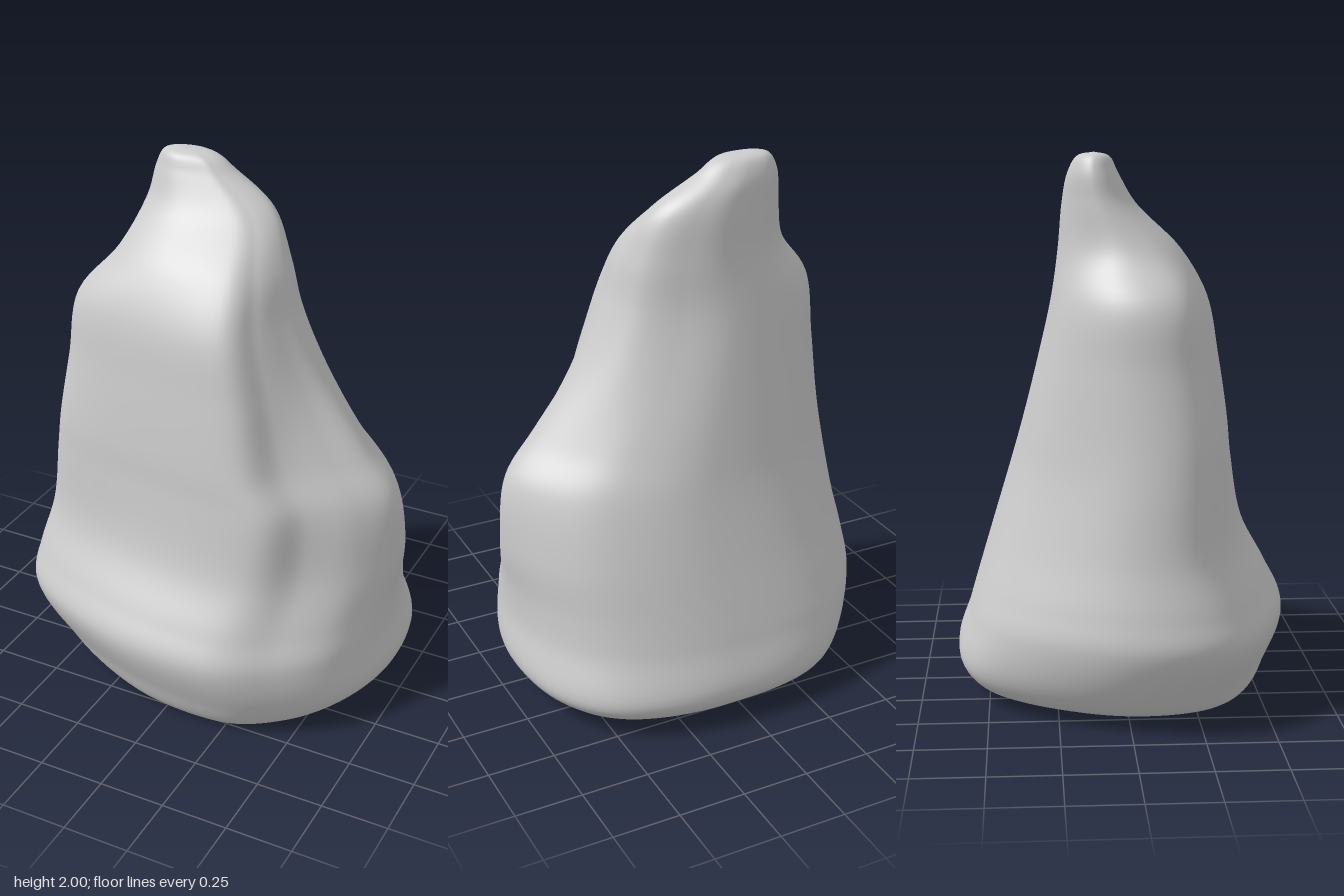
import * as THREE from 'three';
import { mergeVertices } from 'three/addons/utils/BufferGeometryUtils.js';

const { lerp, smoothstep } = THREE.MathUtils;
const AROUND = 110, STEPS = 7;

// Outlines in a unit square (x, z): left, left front, front, front ridge, hollow,
// right bump, right, right back, back right, back, back left.
const FOOT = [[-.98, -.12], [-.91, .55], [-.33, .92], [.28, 1], [.64, .82], [.88, .53], [.99, .05], [.92, -.5], [.64, -.87], [.09, -1], [-.58, -.85]];
const WAIST = [[-.99, -.08], [-.94, .6], [-.3, .88], [.42, .98], [.64, .62], [.86, .32], [1, -.02], [.83, -.5], [.55, -.84], [.07, -1], [-.6, -.8]];
const SHOULDER = [[-.99, -.18], [-.95, .52], [-.3, .85], [.6, .96], [.84, .57], [.95, .2], [1, -.15], [.88, -.58], [.55, -.85], [.07, -1], [-.6, -.8]];

// Height, left, right, back and front limits of the rock
const LEVELS = [
  [.12, -.65, .72, -.62, .57],
  [.3, -.73, .705, -.575, .62],
  [.42, -.71, .705, -.54, .57],
  [.6, -.66, .72, -.485, .48],
  [.85, -.62, .69, -.41, .44],
  [1, -.6, .575, -.37, .42],
  [1.25, -.565, .39, -.31, .38],
  [1.48, -.535, .28, -.26, .33],
  [1.65, -.41, .23, -.235, .23],
  [1.82, -.355, .14, -.22, .05],
  [1.93, -.335, -.02, -.2, -.02],
];

// The outline turns from foot to waist to shoulder, then rounds off to an ellipse at the peak.
function ring([y, left, right, back, front]) {
  const toWaist = smoothstep(y, 0.15, 1), toShoulder = smoothstep(y, 1, 1.4), toPeak = smoothstep(y, 1.45, 1.9);
  return FOOT.map((foot, i) => {
    const [u, v] = foot.map((f, k) => lerp(lerp(f, WAIST[i][k], toWaist), SHOULDER[i][k], toShoulder));
    const reach = lerp(1, 1 / Math.hypot(u, v), toPeak);
    return new THREE.Vector3(lerp(left, right, (u * reach + 1) / 2), y, lerp(back, front, (v * reach + 1) / 2));
  });
}

// Shrinks a ring towards a centre and moves it to a new height.
function shrink(points, scale, cx, cz, height) {
  return points.map((p) => {
    const z = lerp(cz, p.z, scale);
    return new THREE.Vector3(lerp(cx, p.x, scale), height(z), z);
  });
}

// Smooth skin through the rings: a closed curve around each, then a curve up each column.
function loft(rings) {
  const loops = rings.map((r) => new THREE.CatmullRomCurve3(r, true, 'catmullrom', 0.5));
  const rows = (rings.length - 1) * STEPS;
  const positions = [], index = [];
  for (let j = 0; j < AROUND; j++) {
    const column = new THREE.CatmullRomCurve3(loops.map((l) => l.getPoint(j / AROUND)));
    for (let i = 0; i <= rows; i++) {
      const p = column.getPoint(i / rows);
      positions.push(p.x, Math.max(0, p.y), p.z);
    }
    const a = j * (rows + 1), b = ((j + 1) % AROUND) * (rows + 1);
    for (let i = 0; i < rows; i++) {
      if (i > 0) index.push(a + i, b + i, b + i + 1);
      if (i < rows - 1) index.push(a + i, b + i + 1, a + i + 1);
    }
  }
  const geometry = new THREE.BufferGeometry();
  geometry.setAttribute('position', new THREE.Float32BufferAttribute(positions, 3));
  geometry.setIndex(index);
  const merged = mergeVertices(geometry, 1e-5);
  merged.computeVertexNormals();
  return merged;
}

export function createModel() {
  const body = LEVELS.map(ring);
  const foot = body[0], peak = body[body.length - 1];
  // The underside dips to the ground at the front
  const under = (z) => 0.04 * (1 - smoothstep(z, 0.2, 0.49));
  const rings = [
    ...[0, 0.5, 0.88].map((s) => shrink(foot, s, 0, 0, under)),
    ...body,
    shrink(peak, 0.65, -0.25, -0.11, () => 1.985),
    shrink(peak, 0, -0.25, -0.11, () => 2),
  ];
  const rock = new THREE.Mesh(loft(rings), new THREE.MeshStandardMaterial({ color: 0xcccccc }));
  rock.name = 'rock';
  const group = new THREE.Group();
  group.name = 'standingRock';
  group.add(rock);
  return group;
}
